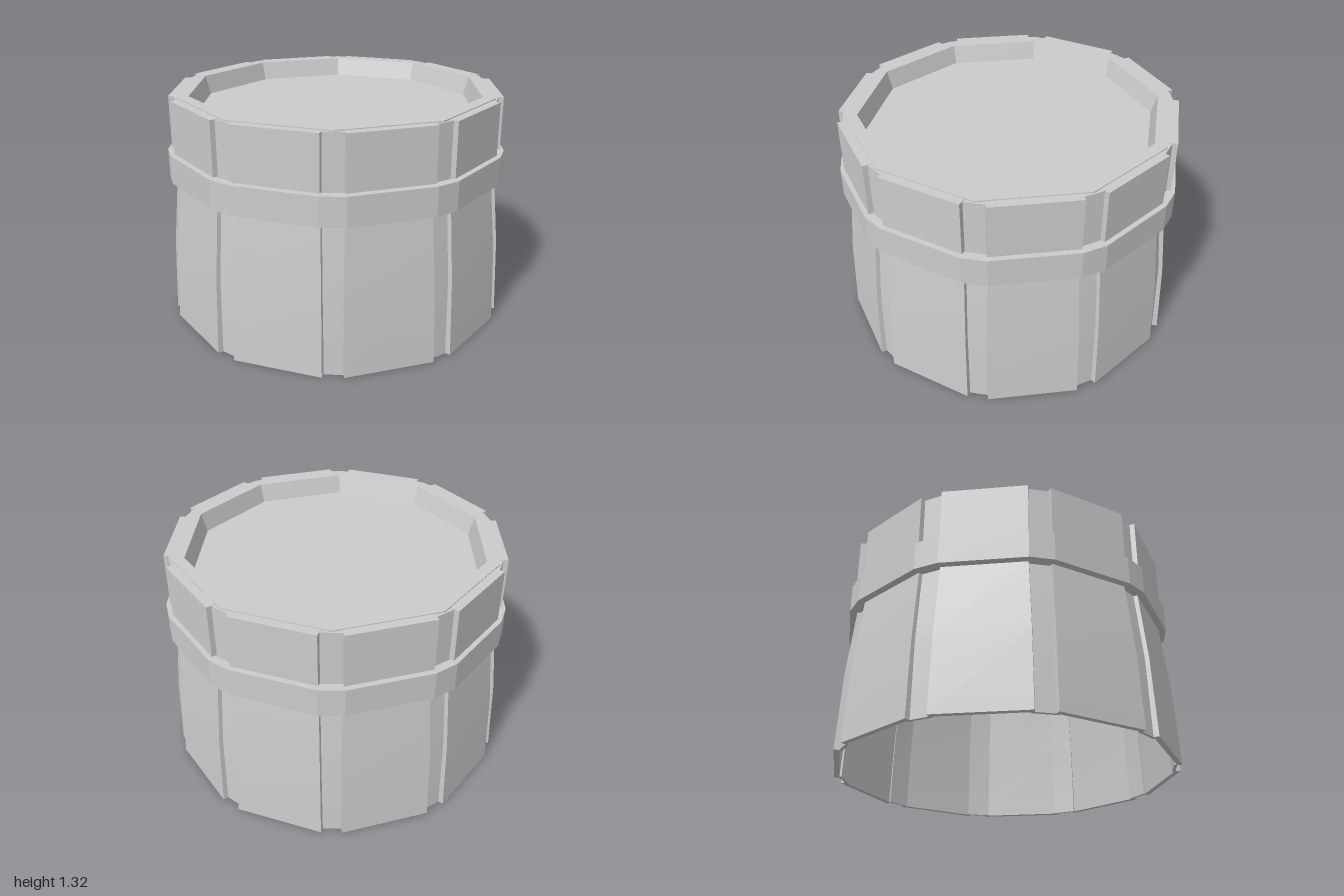
import * as THREE from 'three';
import { toCreasedNormals } from 'three/addons/utils/BufferGeometryUtils.js';

const SIDES = 10;
const STEP = (Math.PI * 2) / SIDES;

const material = new THREE.MeshStandardMaterial({ color: 0xcccccc });

// Skin a stack of equal-length rings, each ordered from x towards z.
function loft(rings, capped) {
  const pos = [];
  const put = (...pts) => pts.forEach((p) => pos.push(...p));
  for (let i = 0; i < rings.length - 1; i++) {
    const lo = rings[i], hi = rings[i + 1], n = lo.length;
    for (let j = 0; j < n; j++) {
      const k = (j + 1) % n;
      put(lo[j], hi[j], lo[k], lo[k], hi[j], hi[k]);
    }
  }
  if (capped) {
    const first = rings[0], last = rings[rings.length - 1];
    for (let j = 1; j < first.length - 1; j++) {
      put(first[0], first[j], first[j + 1]);
      put(last[0], last[j + 1], last[j]);
    }
  }
  const geo = new THREE.BufferGeometry();
  geo.setAttribute('position', new THREE.Float32BufferAttribute(pos, 3));
  return toCreasedNormals(geo, 0.2); // soft along the bulge, sharp at corners
}

// Ten-sided ring with a flat side facing front; face is the distance to a flat.
function decagon(face, y) {
  const r = face / Math.cos(STEP / 2);
  return Array.from({ length: SIDES }, (_, i) => [r * Math.cos(i * STEP), y, r * Math.sin(i * STEP)]);
}

// Decagon with its corners cut off, leaving flats of the given half width.
function cutDecagon(face, half, y) {
  const ring = [];
  for (let i = 0; i < SIDES; i++) {
    const a = (i + 0.5) * STEP, c = Math.cos(a), s = Math.sin(a);
    for (const t of [-half, half]) ring.push([face * c - t * s, y, face * s + t * c]);
  }
  return ring;
}

// Upright plate facing +z; levels are [y, outer distance, half width].
function plate(levels, thick) {
  return loft(levels.map(([y, d, w]) => [
    [-w, y, d - thick], [w, y, d - thick], [w, y, d], [-w, y, d],
  ]), true);
}

export function createModel() {
  const model = new THREE.Group();

  const add = (name, geo, parent = model) => {
    const mesh = new THREE.Mesh(geo, material);
    mesh.name = name;
    parent.add(mesh);
    return mesh;
  };

  // Repeat one plate around the barrel, starting at the given angle.
  const around = (name, geo, start) => {
    const group = new THREE.Group();
    group.name = name + 's';
    for (let i = 0; i < SIDES; i++) add(name, geo, group).rotation.y = start + i * STEP;
    model.add(group);
  };

  // Bulging lower wall: wide staves with narrow recessed strips between
  around('lowerStave', plate([[0, 0.968, 0.252], [0.44, 0.95, 0.245], [0.855, 0.911, 0.23]], 0.03), 0);
  around('lowerStrip', plate([[0, 0.97, 0.07], [0.44, 0.957, 0.07], [0.855, 0.916, 0.07]], 0.018), STEP / 2);

  // Straight upper wall
  around('upperStave', plate([[1.012, 0.93, 0.235], [1.312, 0.93, 0.235]], 0.055), 0);
  around('upperStrip', plate([[1, 0.93, 0.075], [1.31, 0.93, 0.075]], 0.03), STEP / 2);

  // Hoop around the join, with cut corners
  const hoop = [[0.953, 0.237, 0.842], [0.953, 0.237, 1.005], [0.87, 0.22, 1.005], [0.87, 0.22, 0.842], [0.953, 0.237, 0.842]];
  add('hoop', loft(hoop.map((p) => cutDecagon(...p)), false));

  // Lid with a raised rim and a sunken floor
  const lid = [[0.82, 1.16], [0.82, 0.98], [0.878, 0.98], [0.878, 1.317], [0.81, 1.317], [0.78, 1.21]];
  add('lid', loft(lid.map((p) => decagon(...p)), true));

  return model;
}
